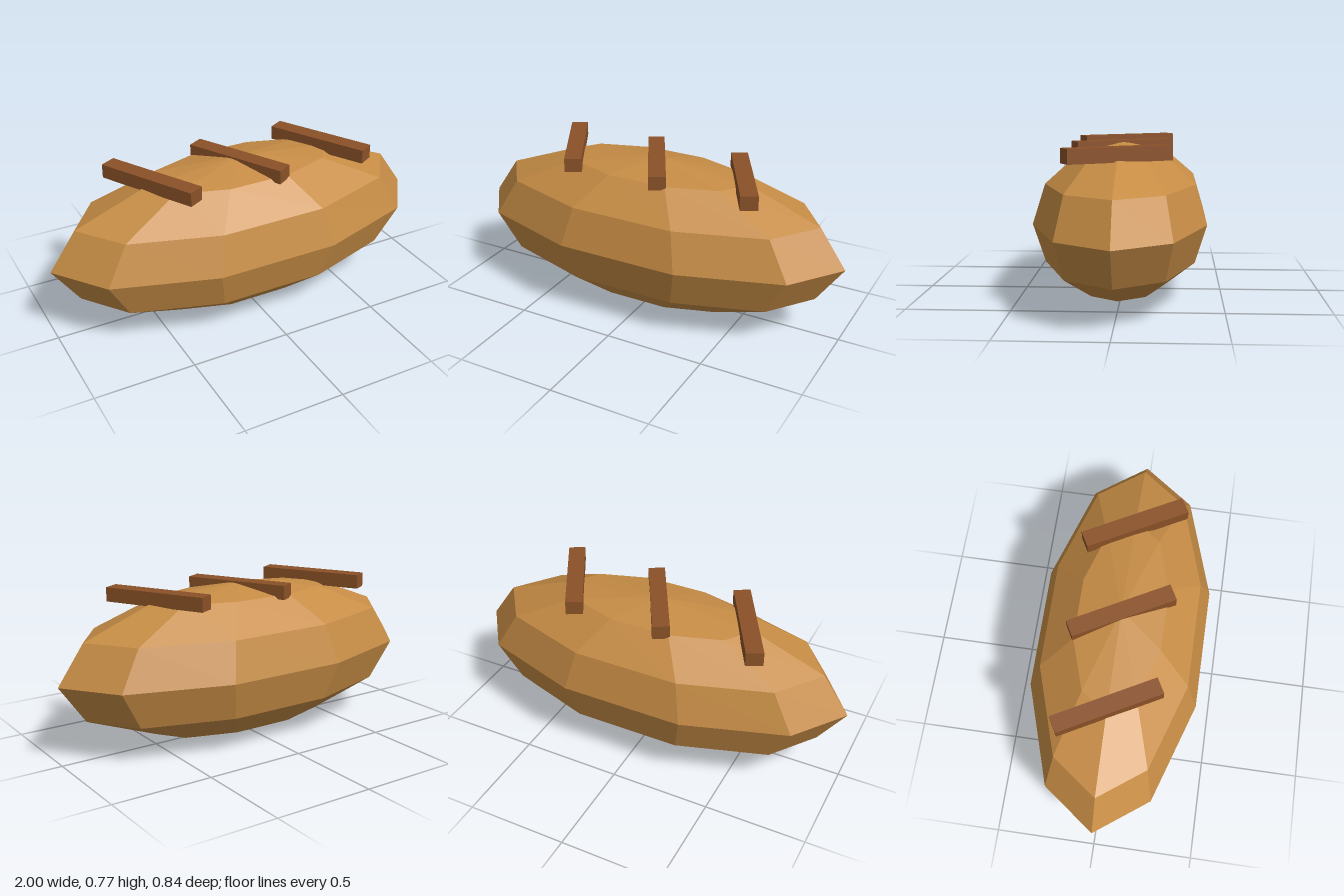
import * as THREE from 'three';

export function createModel() {
  const model = new THREE.Group();
  model.name = 'breadLoaf';

  const crust = new THREE.MeshStandardMaterial({ color: 0xc68c45, flatShading: true });
  const darkCrust = new THREE.MeshStandardMaterial({ color: 0x8b5228, flatShading: true });

  // Loaf: a coarse faceted sphere stretched along x
  const loaf = new THREE.Mesh(new THREE.SphereGeometry(1, 10, 6).scale(1, 0.382, 0.44), crust);
  loaf.name = 'loaf';
  loaf.position.y = 0.384;
  model.add(loaf);

  // Three slanted score marks across the top
  const scoreGeometry = new THREE.BoxGeometry(0.084, 0.07, 0.53);
  for (const [i, x] of [-0.47, 0, 0.47].entries()) {
    const score = new THREE.Mesh(scoreGeometry, darkCrust);
    score.name = `scoreMark${i + 1}`;
    score.position.set(x, 0.735, 0);
    score.rotation.y = 0.5;
    model.add(score);
  }

  return model;
}
